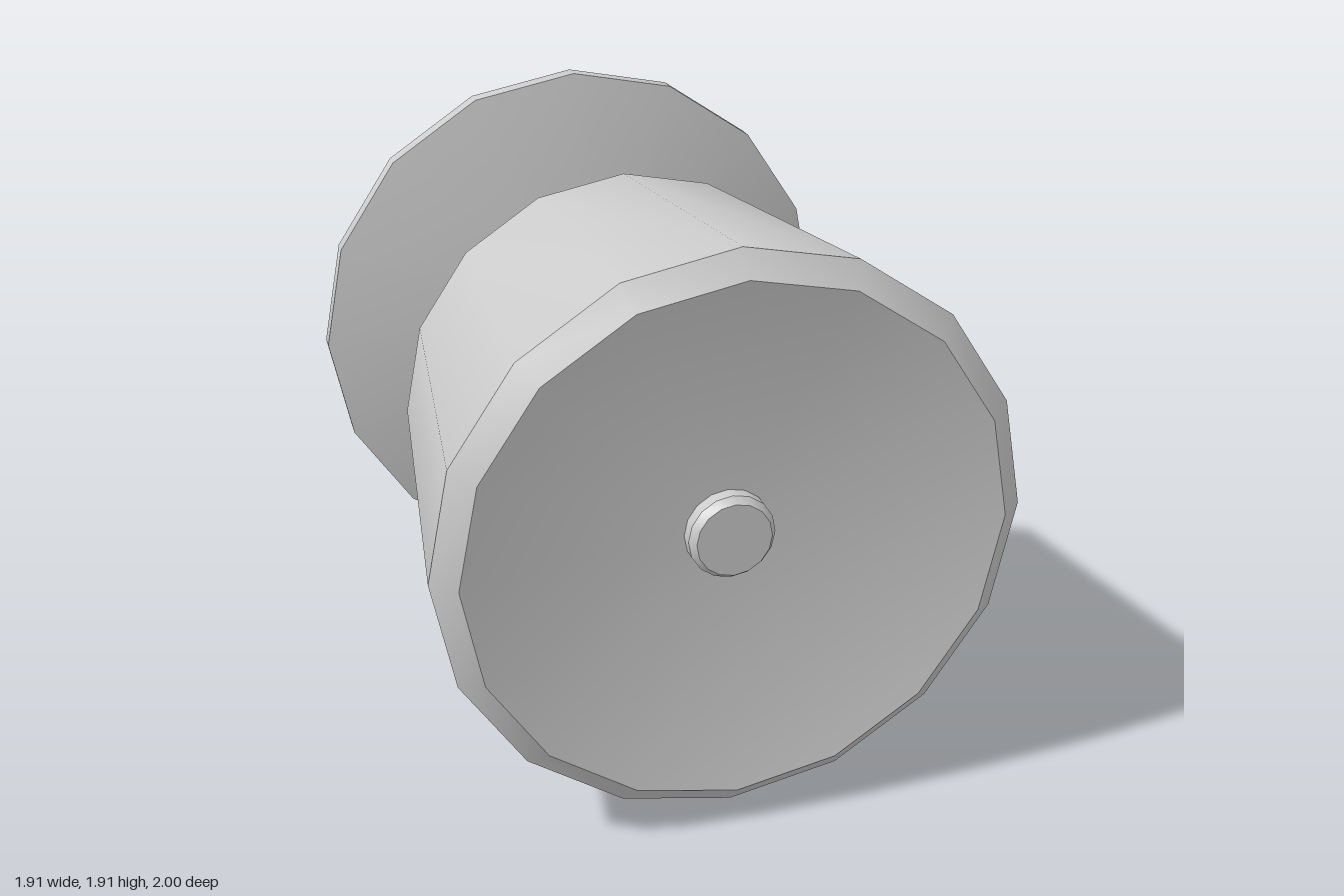
import * as THREE from 'three';
import { toCreasedNormals } from 'three/addons/utils/BufferGeometryUtils.js';

const SIDES = 16;
const AXIS_Y = 0.955;

export function createModel() {
  const group = new THREE.Group();
  group.name = 'doorKnob';
  const material = new THREE.MeshStandardMaterial({ color: 0xcccccc });

  // Turns a [radius, z] profile, listed from back to front, around the z axis
  function turned(name, profile) {
    const points = profile.map(([r, z]) => new THREE.Vector2(r, z));
    const lathe = new THREE.LatheGeometry(points, SIDES).rotateX(Math.PI / 2);
    const mesh = new THREE.Mesh(toCreasedNormals(lathe, 0.5), material);
    mesh.name = name;
    mesh.position.y = AXIS_Y;
    group.add(mesh);
  }

  // Wall plate with a sloped front
  turned('wallPlate', [[0, -1], [0.955, -1], [0.955, -0.935], [0.275, -0.78], [0, -0.78]]);

  // Neck between plate and knob
  turned('neck', [[0.275, -0.79], [0.275, -0.39]]);

  // Tapered knob with chamfered ends and a dished face
  turned('knob', [
    [0, -0.4], [0.62, -0.4], [0.77, -0.27], [0.91, 0.935], [0.835, 1], [0, 0.83],
  ]);

  // Small chamfered button in the dish
  turned('button', [[0.135, 0.82], [0.135, 0.9], [0.117, 0.925], [0, 0.925]]);

  return group;
}
